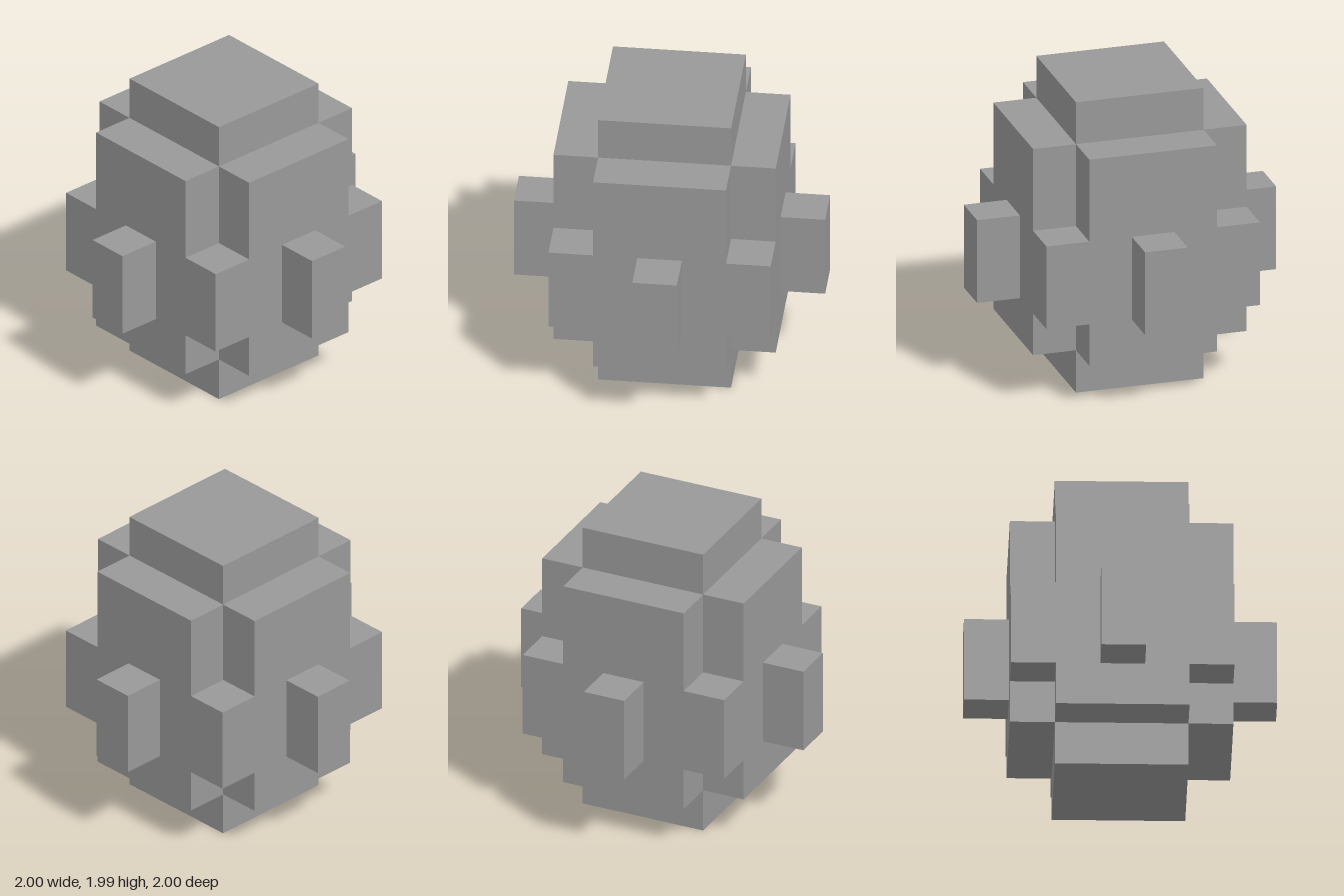
import * as THREE from 'three';

const stone = new THREE.MeshStandardMaterial({ color: 0x999999 });
stone.name = 'stone grey';

// Half widths of the blocky steps
const CORE = 0.427, BODY = 0.714, KNOB = 1, KNOB_HALF = 0.143;

// Repeats one quarter of an outline four times around the vertical axis
function fourfold(quarter) {
  const points = [];
  for (let i = 0, p = quarter; i < 4; i++) {
    points.push(...p.map(([x, y]) => new THREE.Vector2(x, y)));
    p = p.map(([x, y]) => [-y, x]);
  }
  return new THREE.Shape(points);
}

const square = fourfold([[CORE, CORE]]);
const cross = fourfold([[BODY, -CORE], [BODY, CORE], [CORE, CORE]]);
const knobbed = fourfold([
  [BODY, -KNOB_HALF], [KNOB, -KNOB_HALF], [KNOB, KNOB_HALF], [BODY, KNOB_HALF], [BODY, BODY],
]);

// Stacked layers: name, outline, bottom, top
const layers = [
  ['base', square, 0, 0.29],
  ['lowerBody', cross, 0.29, 0.575],
  ['middleBodyWithKnobs', knobbed, 0.575, 1.142],
  ['upperBody', cross, 1.142, 1.703],
  ['cap', square, 1.703, 1.99],
];

export function createModel() {
  const model = new THREE.Group();
  model.name = 'blockEgg';
  for (const [name, outline, bottom, top] of layers) {
    const geometry = new THREE.ExtrudeGeometry(outline, { depth: top - bottom, bevelEnabled: false });
    geometry.rotateX(-Math.PI / 2).translate(0, bottom, 0);
    const layer = new THREE.Mesh(geometry, stone);
    layer.name = name;
    model.add(layer);
  }
  return model;
}
